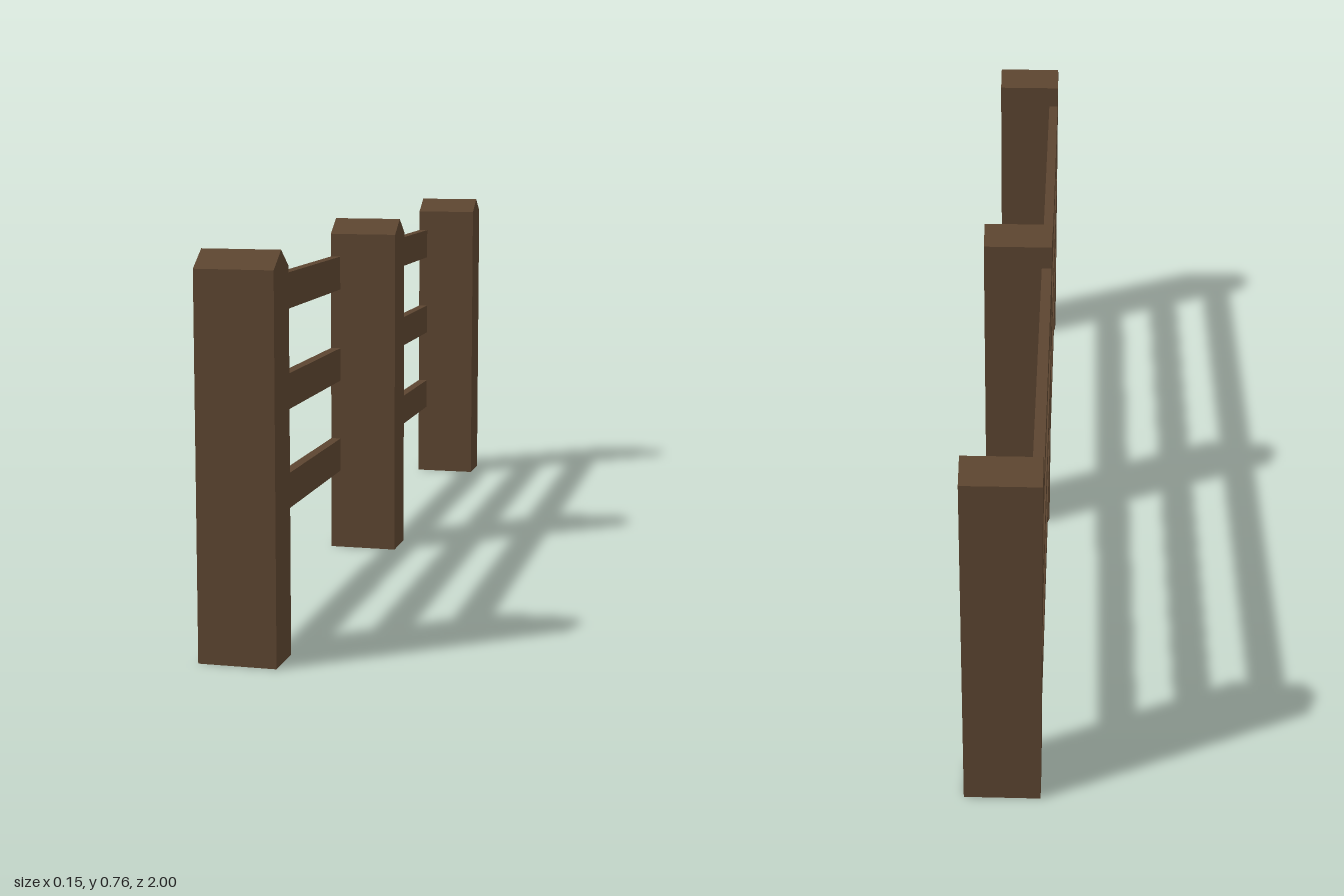
import * as THREE from 'three';

const WIDTH = 0.15;      // post size across the fence (x)
const HALF = 0.0475;     // half of a post along the fence (z)
const SHOULDER = 0.727;
const PEAK = 0.76;

// Hollow post with a ridged top and an open foot
function postGeometry() {
  const profile = new THREE.Shape([
    new THREE.Vector2(-HALF, 0),
    new THREE.Vector2(HALF, 0),
    new THREE.Vector2(HALF, SHOULDER),
    new THREE.Vector2(0, PEAK),
    new THREE.Vector2(-HALF, SHOULDER),
  ]);
  let geo = new THREE.ExtrudeGeometry(profile, { depth: WIDTH, bevelEnabled: false });
  if (geo.index) geo = geo.toNonIndexed();
  geo.rotateY(-Math.PI / 2);
  geo.translate(WIDTH / 2, 0, 0);

  // Leave out the triangles that lie on the ground
  const p = geo.attributes.position;
  const kept = [];
  for (let i = 0; i < p.count; i += 3) {
    const top = Math.max(p.getY(i), p.getY(i + 1), p.getY(i + 2));
    if (top > 1e-4) kept.push(i, i + 1, i + 2);
  }
  geo.clearGroups();
  geo.setIndex(kept);
  return geo;
}

export function createModel() {
  const fence = new THREE.Group();
  fence.name = 'fence';
  const wood = new THREE.MeshStandardMaterial({ color: 0x5c4530, side: THREE.DoubleSide });
  wood.name = 'brown wood';

  // Three posts
  const postGeo = postGeometry();
  const spacing = 1 - HALF;
  [['front', 1], ['middle', 0], ['back', -1]].forEach(([label, k]) => {
    const post = new THREE.Mesh(postGeo, wood);
    post.name = label + 'Post';
    post.position.z = k * spacing;
    fence.add(post);
  });

  // Three rails in each bay, flush with the right side of the posts
  const thickness = 0.022;
  const railGeo = new THREE.BoxGeometry(thickness, 0.075, spacing - 2 * HALF);
  for (const [label, side] of [['front', 1], ['back', -1]]) {
    [['Lower', 0.218], ['Middle', 0.428], ['Upper', 0.638]].forEach(([level, y]) => {
      const rail = new THREE.Mesh(railGeo, wood);
      rail.name = label + level + 'Rail';
      rail.position.set(-WIDTH / 2 + thickness / 2, y, side * spacing / 2);
      fence.add(rail);
    });
  }
  return fence;
}
